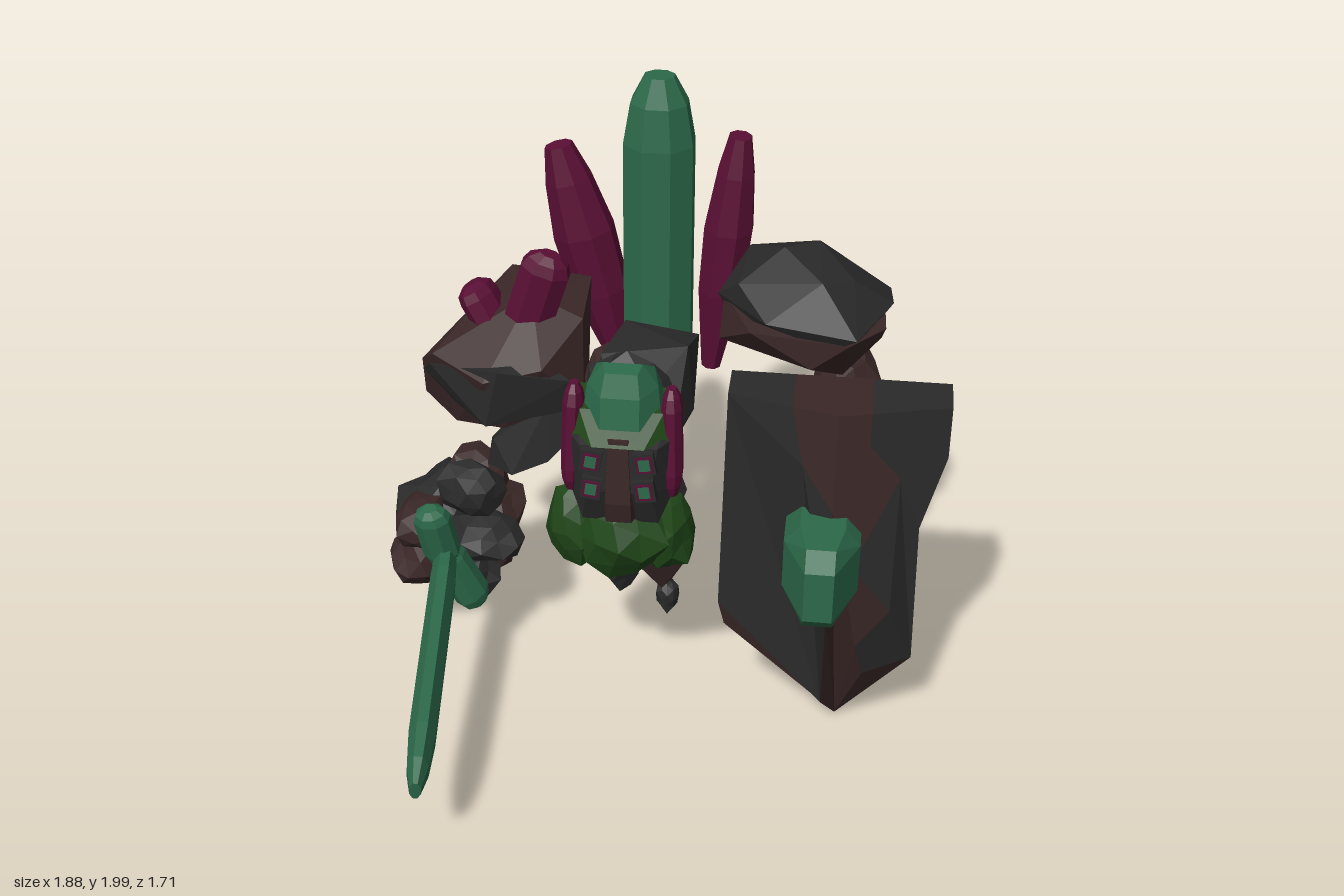
import * as THREE from 'three';
import { ConvexGeometry } from 'three/addons/geometries/ConvexGeometry.js';

const mat = (color) => new THREE.MeshStandardMaterial({ color, flatShading: true });
const BLACK = mat(0x2a2a2a), BROWN = mat(0x3a2727), GREEN = mat(0x2c694a),
  MAGENTA = mat(0x590f34), MOSS = mat(0x1f4518);
const V = (p) => new THREE.Vector3(...p);

export function createModel() {
  const root = new THREE.Group();
  const add = (name, geo, material) => {
    const mesh = new THREE.Mesh(geo, material);
    mesh.name = name;
    root.add(mesh);
    return mesh;
  };

  // Faceted stone from its corner points
  const hull = (name, material, pts) => add(name, new ConvexGeometry(pts.map(V)), material);

  // Rough boulder filling the box lo..hi; tilt leans it before the fit
  const rock = (name, material, lo, hi, seed, tilt = 0) => {
    const g = new THREE.IcosahedronGeometry(1, 1), p = g.attributes.position, v = new THREE.Vector3();
    for (let i = 0; i < p.count; i++) {
      v.fromBufferAttribute(p, i);
      const h = Math.sin(Math.round(v.x * 50) * 12.9 + Math.round(v.y * 50) * 78.2 + Math.round(v.z * 50) * 37.7 + seed * 5.3) * 437.58;
      v.multiplyScalar(0.82 + 0.32 * (h - Math.floor(h)));
      p.setXYZ(i, v.x, v.y, v.z);
    }
    g.rotateY(seed).rotateZ(tilt);
    g.computeBoundingBox();
    const s = g.boundingBox.getSize(new THREE.Vector3()), c = g.boundingBox.getCenter(new THREE.Vector3());
    g.translate(-c.x, -c.y, -c.z);
    g.scale((hi[0] - lo[0]) / s.x, (hi[1] - lo[1]) / s.y, (hi[2] - lo[2]) / s.z);
    g.translate((lo[0] + hi[0]) / 2, (lo[1] + hi[1]) / 2, (lo[2] + hi[2]) / 2);
    g.computeVertexNormals();
    return add(name, g, material);
  };

  // Eight-sided crystal from a to b; profile pairs are [width, position along axis]
  const LONG = [[0, 0], [0.5, 0], [0.85, 0.1], [1, 0.22], [1, 0.82], [0.8, 0.93], [0.42, 1], [0, 1]];
  const SHARD = [[0, 0], [0.4, 0], [0.92, 0.35], [1, 0.62], [0.75, 0.85], [0.45, 1], [0, 1]];
  const STUB = [[0, 0], [0.5, 0], [0.9, 0.1], [1, 0.25], [1, 0.75], [0.9, 0.9], [0.5, 1], [0, 1]];
  const crystal = (name, material, a, b, hx, hz, profile = LONG) => {
    const d = V(b).sub(V(a)), r = 1 / Math.cos(Math.PI / 8);
    const g = new THREE.LatheGeometry(profile.map(([w, t]) => new THREE.Vector2(w * r, t)), 8, Math.PI / 8);
    g.scale(hx, d.length(), hz);
    const mesh = add(name, g, material);
    mesh.quaternion.setFromUnitVectors(new THREE.Vector3(0, 1, 0), d.normalize());
    mesh.position.set(...a);
    return mesh;
  };

  // Back crystals
  crystal('backCrystalCentre', GREEN, [-0.045, 0.73, -0.75], [-0.045, 2, -0.75], 0.115, 0.1);
  crystal('backCrystalRight', MAGENTA, [-0.17, 0.93, -0.75], [-0.38, 1.74, -0.75], 0.1, 0.087, SHARD);
  crystal('backCrystalLeft', MAGENTA, [0.14, 0.94, -0.75], [0.22, 1.8, -0.76], 0.08, 0.09, SHARD);

  // Torso behind the head
  hull('torso', BLACK, [
    [-0.18, 1.22, -0.3], [0.1, 1.25, -0.33], [0.12, 1.2, -0.5], [-0.13, 1.22, -0.53], [0.12, 1.0, -0.35],
    [0.07, 0.98, -0.22], [-0.12, 0.98, -0.2], [-0.2, 1.0, -0.3], [-0.18, 1.05, -0.5], [0.06, 1.0, -0.55],
    [0.0, 0.8, -0.3], [-0.1, 0.8, -0.45], [0.05, 0.82, -0.42]]);
  rock('torsoSide', BROWN, [-0.27, 0.82, -0.52], [-0.04, 1.2, -0.22], 5);

  // Head: stone face, hood and crown
  const cx = -0.06;
  const mirrored = (pts) => pts.flatMap(([x, y, z]) => [[cx - x, y, z], [cx + x, y, z]]);
  hull('face', BLACK, mirrored([
    [0.12, 0.88, 0.14], [0.17, 1.0, 0.1], [0.12, 1.18, 0.18], [0.1, 1.02, 0.19],
    [0.18, 1.18, 0.08], [0.15, 1.24, 0.0], [0.16, 0.9, -0.08], [0.13, 1.24, -0.08]]));
  hull('noseRidge', BROWN, mirrored([
    [0.03, 1.2, 0.18], [0.04, 0.98, 0.2], [0.04, 0.9, 0.18], [0.05, 1.2, 0.1], [0.06, 0.9, 0.1]]));
  rock('hood', BLACK, [-0.2, 1.05, -0.15], [0.1, 1.37, 0.0], 3);
  hull('mossBrow', MOSS, mirrored([
    [0.13, 1.26, 0.1], [0.17, 1.18, 0.11], [0.08, 1.18, 0.19], [0.15, 1.28, -0.02], [0.17, 1.14, 0.0]]));
  hull('crownCrystal', GREEN, mirrored([
    [0.06, 1.4, 0.05], [0.05, 1.39, 0.1], [0.09, 1.36, -0.01], [0.11, 1.33, 0.06],
    [0.13, 1.24, 0.0], [0.12, 1.23, 0.08], [0.06, 1.22, 0.15], [0.06, 1.32, 0.13]]));
  for (const s of [-1, 1]) {
    crystal('cheekCrystal', MAGENTA, [cx + s * 0.16, 0.97, 0.1], [cx + s * 0.15, 1.33, 0.06], 0.032, 0.05);
    for (const y of [1.035, 1.135]) {
      const frame = add('eyeFrame', new THREE.BoxGeometry(0.065, 0.075, 0.04), BLACK);
      const rim = add('eyeRim', new THREE.BoxGeometry(0.05, 0.058, 0.045), MAGENTA);
      const eye = add('eye', new THREE.BoxGeometry(0.035, 0.04, 0.05), GREEN);
      for (const part of [frame, rim, eye]) {
        part.position.set(cx + s * 0.083, y, 0.182);
        part.rotation.z = s * 0.15;
      }
    }
  }

  // Moss beard in clumps, with the stone base beneath it
  rock('mossBeard', MOSS, [-0.2, 0.61, -0.08], [0.1, 0.95, 0.21], 1);
  rock('mossClumpRight', MOSS, [-0.32, 0.65, -0.07], [-0.1, 0.95, 0.14], 4);
  rock('mossClumpLeft', MOSS, [-0.02, 0.63, -0.07], [0.165, 0.93, 0.14], 6);
  rock('bodyBack', BLACK, [-0.28, 0.68, -0.14], [0.13, 1.08, 0.06], 7);
  hull('baseSpike', BROWN, [
    [0.05, 0.47, -0.06], [0.08, 0.49, -0.09], [0.12, 0.6, -0.02], [0.12, 0.66, -0.12],
    [-0.02, 0.6, 0.0], [-0.04, 0.68, -0.12], [0.1, 0.72, 0.03]]);
  rock('floatingStoneLarge', BLACK, [-0.18, 0.34, -0.29], [-0.04, 0.56, -0.16], 8);
  rock('floatingStoneSmall', BLACK, [0.01, 0.24, -0.29], [0.09, 0.39, -0.19], 9);

  // Right shoulder with crystals and upper arm
  hull('rightShoulder', BROWN, [
    [-0.8, 1.1, -0.4], [-0.8, 0.96, -0.42], [-0.74, 1.18, -0.3], [-0.7, 1.13, -0.53], [-0.68, 0.9, -0.34],
    [-0.6, 1.3, -0.5], [-0.53, 1.34, -0.65], [-0.42, 1.37, -0.4], [-0.25, 1.35, -0.58], [-0.25, 1.3, -0.38],
    [-0.36, 1.2, -0.2], [-0.55, 1.15, -0.18], [-0.5, 0.94, -0.25], [-0.24, 1.05, -0.3], [-0.25, 1.08, -0.5], [-0.5, 0.98, -0.52]]);
  hull('rightShoulderPlate', BLACK, [
    [-0.79, 1.08, -0.37], [-0.75, 1.14, -0.3], [-0.5, 1.2, -0.17], [-0.27, 1.15, -0.23],
    [-0.28, 1.02, -0.26], [-0.55, 0.98, -0.19], [-0.7, 1.0, -0.33], [-0.4, 1.2, -0.3]]);
  crystal('shoulderCrystalSmall', MAGENTA, [-0.53, 1.2, -0.42], [-0.63, 1.37, -0.45], 0.06, 0.08, STUB);
  crystal('shoulderCrystalLarge', MAGENTA, [-0.45, 1.22, -0.39], [-0.35, 1.53, -0.38], 0.08, 0.06);
  hull('rightArm', BLACK, [
    [-0.58, 0.74, -0.33], [-0.58, 0.79, -0.42], [-0.5, 0.72, -0.36], [-0.55, 0.86, -0.3], [-0.48, 0.76, -0.24],
    [-0.36, 1.02, -0.28], [-0.27, 1.03, -0.35], [-0.24, 0.94, -0.3], [-0.36, 0.81, -0.26], [-0.32, 0.88, -0.48], [-0.42, 0.98, -0.45]]);
  rock('rightArmBack', BROWN, [-0.5, 0.8, -0.54], [-0.28, 1.06, -0.36], 10);

  // Right hand
  rock('palm', BLACK, [-0.94, 0.25, -0.59], [-0.57, 0.66, -0.22], 11);
  rock('handBack', BROWN, [-0.76, 0.48, -0.55], [-0.54, 0.72, -0.32], 12);
  rock('thumb', BLACK, [-0.75, 0.54, -0.38], [-0.51, 0.76, -0.2], 13, -0.5);
  for (let i = 0; i < 2; i++) {
    const y = 0.25 + i * 0.16;
    rock('fingerOuter', BROWN, [-0.94 + i * 0.04, y + 0.03, -0.4], [-0.7, y + 0.21, -0.14], 14 + i);
    rock('fingerTip', BLACK, [-0.73, y - 0.02, -0.35], [-0.53 + 0.08 * i, y + 0.17, -0.15], 18 + i);
    rock('fingerInner', BROWN, [-0.68, y, -0.54], [-0.52 + 0.05 * i, y + 0.18, -0.3], 22 + i);
  }

  // Crystal sword
  crystal('swordBlade', GREEN, [-0.71, 0.5, -0.25], [-0.595, 0.33, 0.85], 0.042, 0.085);
  crystal('swordGuardUpper', GREEN, [-0.7, 0.46, -0.13], [-0.73, 0.72, -0.07], 0.06, 0.05);
  crystal('swordGuardLower', GREEN, [-0.71, 0.54, -0.11], [-0.6, 0.27, -0.16], 0.06, 0.05);

  // Left shoulder and arm
  hull('leftShoulder', BROWN, [
    [0.2, 1.36, -0.5], [0.19, 1.22, -0.45], [0.22, 1.2, -0.6], [0.3, 1.33, -0.3], [0.5, 1.22, -0.28],
    [0.62, 1.32, -0.27], [0.73, 1.32, -0.4], [0.72, 1.2, -0.55], [0.72, 1.32, -0.66], [0.47, 1.28, -0.78],
    [0.28, 1.3, -0.72], [0.45, 1.14, -0.5], [0.6, 1.15, -0.38]]);
  hull('leftShoulderCap', BLACK, [
    [0.18, 1.36, -0.5], [0.25, 1.44, -0.42], [0.39, 1.54, -0.5], [0.5, 1.52, -0.6], [0.46, 1.36, -0.78],
    [0.26, 1.36, -0.74], [0.27, 1.46, -0.66], [0.62, 1.46, -0.45], [0.75, 1.36, -0.5], [0.74, 1.35, -0.62],
    [0.64, 1.35, -0.25], [0.35, 1.37, -0.29], [0.52, 1.49, -0.36],
    [0.22, 1.28, -0.5], [0.7, 1.27, -0.52], [0.55, 1.28, -0.3], [0.42, 1.28, -0.74]]);
  rock('leftArm', BROWN, [0.5, 0.86, -0.62], [0.73, 1.2, -0.33], 26);
  rock('leftForearm', BROWN, [0.5, 0.74, -0.48], [0.69, 1.06, -0.21], 27);

  // Shield: panels meeting on a raised ridge, hollowed behind, tapering to the tip
  const ridge = [[0, -0.03], [0.18, 0.1], [0.6, 0.2], [1.31, 0.13]];
  const frontZ = (x, y) => {
    const k = Math.max(1, ridge.findIndex(([h]) => h >= y - 0.001));
    const [y0, z0] = ridge[k - 1], [y1, z1] = ridge[k];
    return z0 + (z1 - z0) * (y - y0) / (y1 - y0) - 0.27 * Math.abs(x - 0.6);
  };
  const backZ = (x, y) => {
    if (y < 0.1) return -0.05;
    return -0.1 + (y > 0.3 && y < 1.25 ? Math.max(0, 0.06 - 0.2 * Math.abs(x - 0.6)) : 0);
  };
  const panel = (name, material, pts) => {
    const shape = new THREE.Shape(pts.map(([x, y]) => new THREE.Vector2(x, y)));
    const g = new THREE.ExtrudeGeometry(shape, { depth: 1, bevelEnabled: false });
    const p = g.attributes.position;
    for (let i = 0; i < p.count; i++) {
      const x = p.getX(i), y = p.getY(i);
      p.setZ(i, (p.getZ(i) > 0.5 ? frontZ : backZ)(x, y));
    }
    g.computeVertexNormals();
    add(name, g, material);
  };
  panel('shieldRightPanel', BLACK, [[0.26, 1.31], [0.25, 0.55], [0.6, 0.14], [0.6, 0.6], [0.6, 0.98], [0.5, 1.12], [0.46, 1.31]]);
  panel('shieldStripeTop', BROWN, [[0.46, 1.31], [0.5, 1.12], [0.6, 0.98], [0.6, 1.31]]);
  panel('shieldStripe', BROWN, [[0.6, 1.31], [0.6, 0.98], [0.6, 0.6], [0.6, 0.14], [0.65, 0.01], [0.885, 0.36],
    [0.73, 0.3], [0.7, 0.44], [0.8, 0.6], [0.67, 0.78], [0.8, 1.08], [0.7, 1.2], [0.7, 1.31]]);
  panel('shieldLeftPanel', BLACK, [[0.7, 1.31], [0.7, 1.2], [0.8, 1.08], [0.67, 0.78], [0.8, 0.6], [0.7, 0.44],
    [0.73, 0.3], [0.885, 0.36], [0.87, 0.9], [0.94, 1.14], [0.94, 1.31]]);
  panel('shieldLowerEdge', BROWN, [[0.25, 0.55], [0.27, 0.45], [0.65, 0.01], [0.6, 0.14]]);

  // Gem through the shield, cut the same at both ends
  const gem = [[0.045, 0.09, 0.3], [0.045, 0.145, 0.25], [0.118, 0.085, 0.13], [0.07, 0.145, 0.13]];
  hull('shieldGem', GREEN, gem.flatMap(([x, y, z]) => [-1, 1].flatMap((i) => [-1, 1].flatMap((j) =>
    [-1, 1].map((k) => [0.575 + i * x, 0.815 + j * y, 0.083 + k * z])))));

  return root;
}
